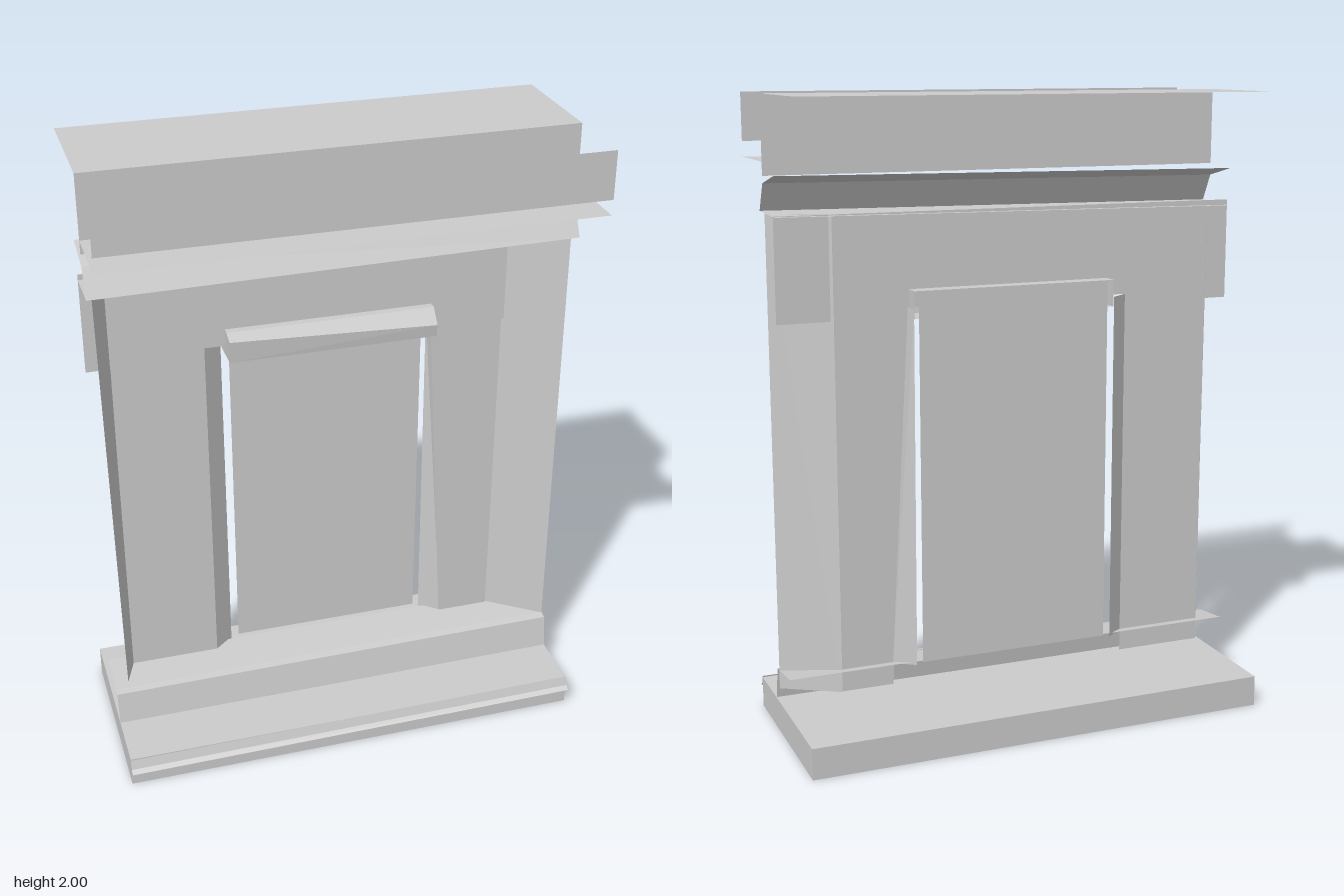
import * as THREE from 'three';

const HALF = 0.755;

export function createModel() {
  const model = new THREE.Group();
  const material = new THREE.MeshStandardMaterial({
    color: 0xcccccc, flatShading: true, side: THREE.DoubleSide,
  });

  function add(name, geometry) {
    const mesh = new THREE.Mesh(geometry, material);
    mesh.name = name;
    model.add(mesh);
    return mesh;
  }

  // Ruled sheet between two rails of [x, y, z] points
  function sheet(name, railA, railB) {
    const pos = [];
    for (let i = 0; i < railA.length - 1; i++) {
      const [a, b, c, d] = [railA[i], railB[i], railB[i + 1], railA[i + 1]];
      pos.push(...a, ...b, ...c, ...a, ...c, ...d);
    }
    const geometry = new THREE.BufferGeometry();
    geometry.setAttribute('position', new THREE.Float32BufferAttribute(pos, 3));
    geometry.computeVertexNormals();
    return add(name, geometry);
  }

  // Thin moulding: a [z, y] profile swept across the full width, rising by tilt to the left
  function moulding(name, profile, tilt = 0) {
    return sheet(name,
      profile.map(([z, y]) => [-HALF, y - tilt, z]),
      profile.map(([z, y]) => [HALF, y + tilt, z]));
  }

  // Plinth with a small front lip
  const plinth = add('plinth', new THREE.BoxGeometry(2 * HALF, 0.1, 0.61));
  plinth.position.set(0, 0.05, -0.015);
  moulding('plinthLip', [[0.29, 0.1], [0.3, 0.07], [0.315, 0.06]], 0.004);

  // Skirting: sloped face and the ledge behind it
  moulding('skirting', [[0.1, 0.1], [0.08, 0.205], [0.055, 0.21]], 0.003);
  moulding('skirtingLedge', [[0.055, 0.21], [-0.08, 0.228]]);

  // Flat wall with a doorway and wider shoulders at the top
  const wall = new THREE.Shape([
    [-0.68, 0.15], [-0.39, 0.15], [-0.39, 1.36], [0.34, 1.36], [0.41, 0.15],
    [0.58, 0.15], [0.58, 1.33], [HALF, 1.33], [HALF, 1.65], [-HALF, 1.65],
    [-HALF, 1.33], [-0.68, 1.33],
  ].map(([x, y]) => new THREE.Vector2(x, y)));
  add('wall', new THREE.ShapeGeometry(wall)).position.z = -0.045;

  // Angled returns at both sides of the wall
  sheet('leftReturn',
    [[0.58, 0.15, -0.05], [0.58, 1.65, -0.05]],
    [[HALF, 0.15, 0.055], [HALF, 1.65, 0.055]]);
  sheet('rightReturn',
    [[-0.71, 0.21, 0.035], [-0.73, 1.64, 0.035]],
    [[-0.675, 0.21, -0.05], [-0.68, 1.64, -0.05]]);

  // Door jambs and recessed door panel
  sheet('rightJamb',
    [[-0.39, 0.22, -0.045], [-0.39, 1.36, -0.045]],
    [[-0.33, 0.22, -0.09], [-0.33, 1.36, -0.09]]);
  sheet('leftJamb',
    [[0.41, 0.22, -0.045], [0.345, 1.36, -0.045]],
    [[0.345, 0.22, -0.09], [0.34, 1.36, -0.09]]);
  const door = add('door', new THREE.PlaneGeometry(0.63, 1.18));
  door.position.set(0.012, 0.82, -0.097);

  // Lintel with a tapering bevelled front
  const lintelEnd = (x, bevel) => [
    [x, 1.33, -0.095], [x, 1.33, 0.015], [x, bevel, 0.02],
    [x, 1.415, -0.02], [x, 1.415, -0.095],
  ];
  const ends = [lintelEnd(-0.325, 1.4), lintelEnd(0.34, 1.37)];
  sheet('lintel', ends[0], ends[1]);
  ends.forEach((end) => sheet('lintelEnd',
    [end[0], end[0], end[4]], [end[1], end[2], end[3]]));

  // Architrave moulding under the cornice
  moulding('architrave',
    [[-0.06, 1.76], [0.07, 1.73], [0.115, 1.645], [-0.06, 1.64]], 0.008);

  // Cornice: top slab, its front riser, hanging fascia and soffit
  moulding('corniceTop', [[-0.322, 2], [0.07, 2], [0.07, 1.76]]);
  moulding('fascia', [[0.317, 2], [0.317, 1.85]]);
  moulding('soffit', [[0.317, 1.802], [0.07, 1.802]]);

  return model;
}
